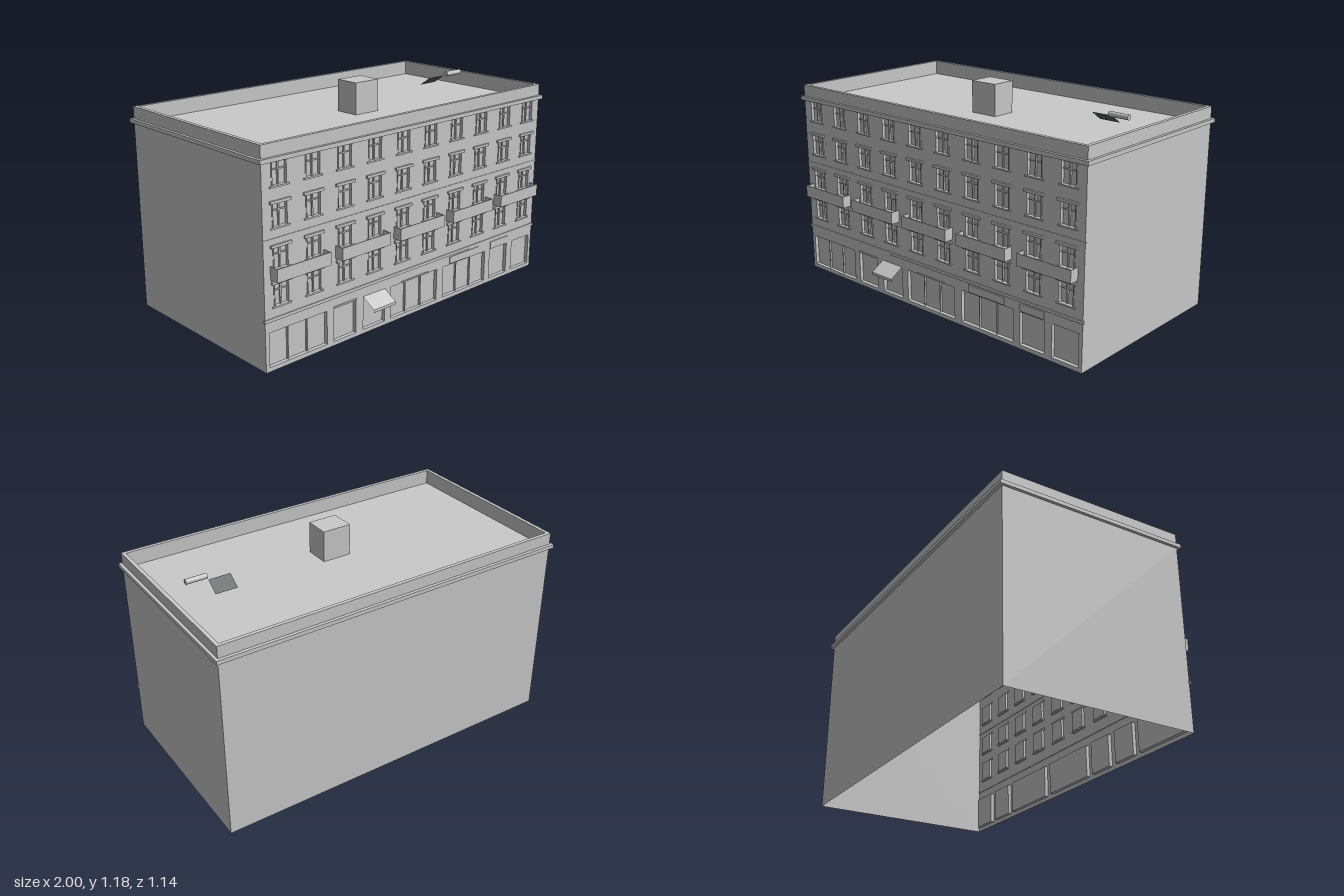
import * as THREE from 'three';

const X = 0.985, ZF = 0.488, ZB = -0.555, TOP = 1.09, ROOF = 1.01;

export function createModel() {
  const model = new THREE.Group();
  const plaster = new THREE.MeshStandardMaterial({ color: 0xcacaca, side: THREE.DoubleSide });
  plaster.name = 'pale grey plaster';
  const dark = new THREE.MeshStandardMaterial({ color: 0x5a6260, side: THREE.DoubleSide });
  dark.name = 'dark panel';

  const add = (name, geo, mat = plaster, parent = model) => {
    const m = new THREE.Mesh(geo, mat);
    m.name = name;
    parent.add(m);
    return m;
  };
  // Box given by its limits on each axis
  const box = (name, x0, x1, y0, y1, z0, z1, parent = model) => {
    const m = add(name, new THREE.BoxGeometry(x1 - x0, y1 - y0, z1 - z0), plaster, parent);
    m.position.set((x0 + x1) / 2, (y0 + y1) / 2, (z0 + z1) / 2);
    return m;
  };
  // Flat sheet swept along x through a list of [y, z] points
  const sheet = (name, x0, x1, pts, mat = plaster) => {
    const pos = [], idx = [];
    pts.forEach(([y, z], i) => {
      pos.push(x0, y, z, x1, y, z);
      if (i) { const a = 2 * i - 2; idx.push(a, a + 2, a + 1, a + 1, a + 2, a + 3); }
    });
    const g = new THREE.BufferGeometry();
    g.setAttribute('position', new THREE.Float32BufferAttribute(pos, 3));
    g.setIndex(idx);
    const flat = g.toNonIndexed();
    flat.computeVertexNormals();
    return add(name, flat, mat);
  };
  const rect = (P, x0, x1, y0, y1) =>
    new P([[x0, y0], [x1, y0], [x1, y1], [x0, y1]].map(([x, y]) => new THREE.Vector2(x, y)));
  // Horizontal rectangular ring
  const ring = (name, x, zb, zf, xi, zbi, zfi, y0, y1) => {
    const s = rect(THREE.Shape, -x, x, -zf, -zb);
    s.holes.push(rect(THREE.Path, -xi, xi, -zfi, -zbi));
    const g = new THREE.ExtrudeGeometry(s, { depth: y1 - y0, bevelEnabled: false });
    g.rotateX(-Math.PI / 2);
    add(name, g).position.y = y0;
  };

  // Openings: upper windows and shop fronts
  const facade = rect(THREE.Shape, -X, X, 0, ROOF);
  const recess = (name, x0, x1, y0, y1, depth, parent) => {
    facade.holes.push(rect(THREE.Path, x0, x1, y0, y1));
    const m = box(name, x0, x1, y0, y1, ZF - depth, ZF, parent);
    // leave the outward face open
    const i = Array.from(m.geometry.index.array);
    i.splice(24, 6);
    m.geometry.setIndex(i);
    m.geometry.clearGroups();
  };

  const rows = [[0.32, 0.43, true], [0.5, 0.605, true], [0.70, 0.812, true], [0.893, 1.0, false]];
  for (const [y0, y1, lintel] of rows) {
    for (let i = 0; i < 10; i++) {
      const x = (i - 4.5) * 0.1967, w = 0.043, t = y1 - 0.035;
      const win = new THREE.Group();
      win.name = 'window';
      model.add(win);
      recess('windowRecess', x - w, x + w, y0, y1, 0.014, win);
      box('mullion', x - 0.004, x + 0.004, y0, y1, ZF - 0.014, ZF - 0.006, win);
      box('transom', x - w, x + w, t - 0.003, t + 0.003, ZF - 0.014, ZF - 0.007, win);
      for (const s of [-1, 1]) {
        box('jamb', x + s * w - 0.003, x + s * w + 0.003, y0, y1, ZF - 0.014, ZF + 0.003, win);
      }
      box('sill', x - 0.056, x + 0.056, y0 - 0.008, y0, ZF - 0.012, ZF + 0.006, win);
      if (lintel) box('lintel', x - 0.06, x + 0.06, y1, y1 + 0.014, ZF - 0.005, ZF + 0.01, win);
    }
  }

  // Shop fronts: left edge, right edge, number of panes
  const shops = [[-0.963, -0.61, 3], [-0.567, -0.42, 1], [-0.37, -0.22, 1], [-0.176, 0.17, 3],
    [0.22, 0.567, 3], [0.61, 0.76, 1], [0.807, 0.963, 1]];
  for (const [x0, x1, n] of shops) {
    recess('shopRecess', x0, x1, 0.022, 0.197, 0.02);
    for (let i = 1; i < n; i++) {
      const x = x0 + (x1 - x0) * i / n;
      box('shopMullion', x - 0.003, x + 0.003, 0.022, 0.197, ZF - 0.02, ZF - 0.01);
    }
  }

  // Walls, open underneath
  add('frontWall', new THREE.ShapeGeometry(facade)).position.z = ZF;
  const back = add('backWall', new THREE.PlaneGeometry(2 * X, ROOF));
  back.rotation.y = Math.PI;
  back.position.set(0, ROOF / 2, ZB);
  for (const s of [-1, 1]) {
    const side = add('sideWall', new THREE.PlaneGeometry(ZF - ZB, ROOF));
    side.rotation.y = s * Math.PI / 2;
    side.position.set(s * X, ROOF / 2, (ZF + ZB) / 2);
  }

  // Roof, parapet, cornice and string courses
  const roof = add('roof', new THREE.PlaneGeometry(2 * X, ZF - ZB));
  roof.rotation.x = -Math.PI / 2;
  roof.position.set(0, ROOF, (ZF + ZB) / 2);
  ring('parapet', X, ZB, ZF, X - 0.02, ZB + 0.02, ZF - 0.02, ROOF, TOP);
  ring('cornice', 1.0, -0.572, 0.503, X - 0.005, ZB + 0.005, ZF - 0.005, 1.006, 1.027);
  box('lowerBand', -0.99, 0.99, 0.25, 0.266, ZF - 0.004, ZF + 0.005);
  box('upperBand', -0.988, 0.988, 0.642, 0.65, ZF - 0.003, ZF + 0.003);

  // Balconies: floor, front and ends
  for (let i = 0; i < 5; i++) {
    const x = (i - 2) * 0.3935, w = 0.161, t = 0.005, z = 0.54;
    const b = new THREE.Group();
    b.name = 'balcony';
    model.add(b);
    box('balconyFloor', x - w, x + w, 0.455, 0.461, ZF, z, b);
    box('balconyFront', x - w, x + w, 0.455, 0.52, z - t, z, b);
    box('balconyEnd', x - w, x - w + t, 0.455, 0.52, ZF, z - t, b);
    box('balconyEnd', x + w - t, x + w, 0.455, 0.52, ZF, z - t, b);
  }

  // Open awning with valance, rolled awnings and blank fascia boards
  sheet('awning', -0.373, -0.22, [[0.202, ZF + 0.001], [0.155, 0.567], [0.14, 0.567]]);
  box('rolledAwning', -0.567, -0.42, 0.199, 0.207, ZF, ZF + 0.006);
  box('rolledAwning', -0.1, 0.1, 0.199, 0.206, ZF, ZF + 0.006);
  box('fascia', 0.27, 0.508, 0.203, 0.242, ZF, ZF + 0.005);
  box('fascia', 0.61, 0.76, 0.203, 0.242, ZF, ZF + 0.005);

  // Rooftop details
  box('roofHousing', -0.06, 0.10, ROOF, 1.18, -0.037, 0.10);
  const pipe = add('roofPipe', new THREE.CylinderGeometry(0.014, 0.014, 0.115, 20));
  pipe.rotation.z = Math.PI / 2;
  pipe.position.set(0.805, 1.11, 0);
  sheet('tiltedPanel', 0.63, 0.75, [[1.05, -0.09], [1.098, -0.02]], dark);

  return model;
}
